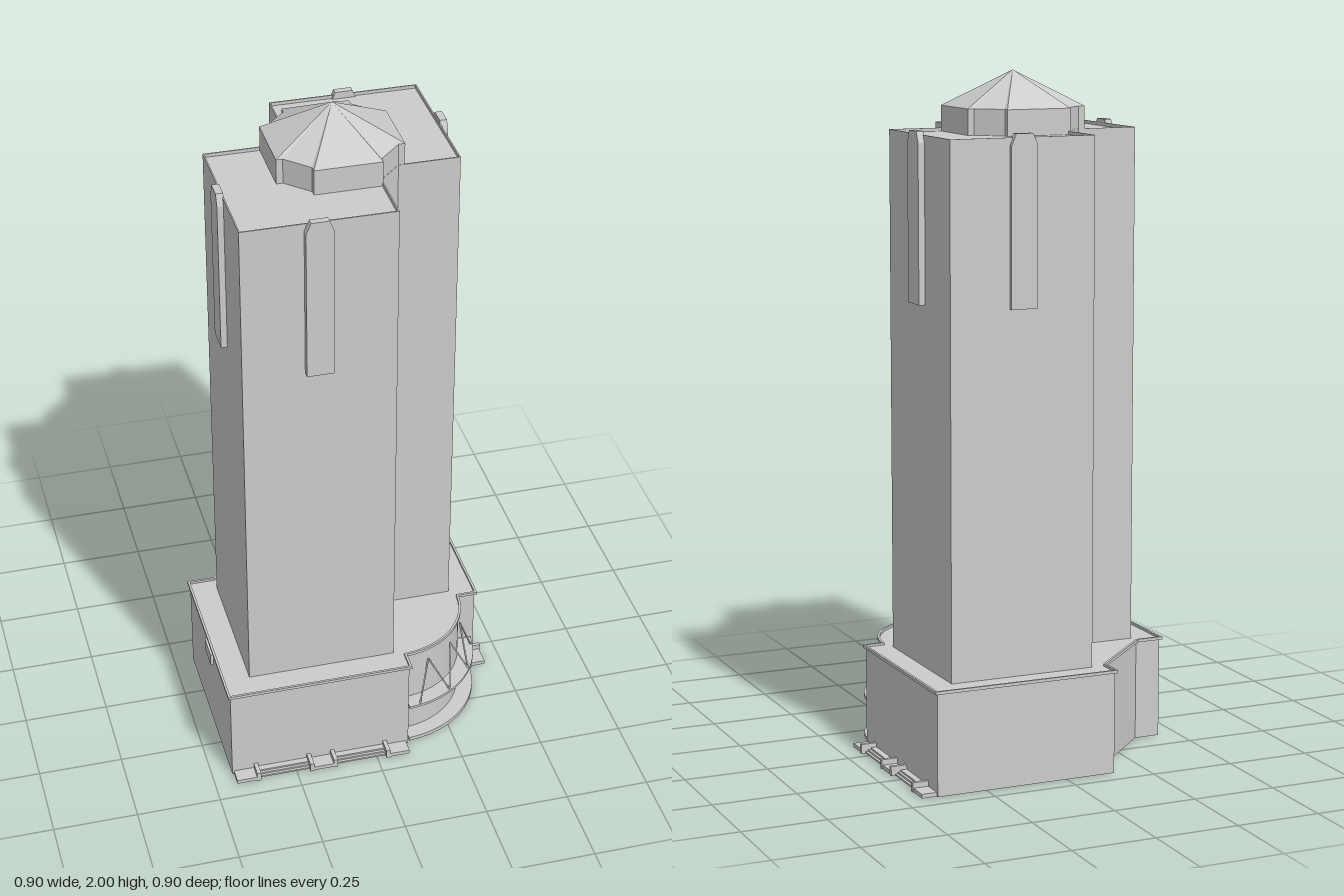
import * as THREE from 'three';
import { toCreasedNormals } from 'three/addons/utils/BufferGeometryUtils.js';

const grey = new THREE.MeshStandardMaterial({ color: 0xcccccc });
const V = (x, z) => new THREE.Vector2(x, z);

function add(parent, name, geometry) {
  const mesh = new THREE.Mesh(geometry, grey);
  mesh.name = name;
  parent.add(mesh);
  return mesh;
}

function box(parent, name, x0, x1, y0, y1, z0, z1) {
  const g = new THREE.BoxGeometry(x1 - x0, y1 - y0, z1 - z0);
  g.translate((x0 + x1) / 2, (y0 + y1) / 2, (z0 + z1) / 2);
  return add(parent, name, g);
}

// Points along an arc in plan, angles in degrees
function arc(cx, cz, r, from, to, n = 20) {
  return Array.from({ length: n + 1 }, (_, i) => {
    const a = THREE.MathUtils.degToRad(from + (to - from) * i / n);
    return V(cx + r * Math.cos(a), cz + r * Math.sin(a));
  });
}

// Mitred offset of a plan outline; positive d grows it
function offset(pts, d) {
  return pts.map((p, i) => {
    const a = pts[(i + pts.length - 1) % pts.length], b = pts[(i + 1) % pts.length];
    const u = p.clone().sub(a).normalize(), v = b.clone().sub(p).normalize();
    const n1 = V(u.y, -u.x), n2 = V(v.y, -v.x);
    return p.clone().addScaledVector(n1.clone().add(n2), d / (1 + n1.dot(n2)));
  });
}

// Plan outline (x, z) extruded between two heights, with an optional hole
function slab(pts, bottom, top, hole) {
  const shape = new THREE.Shape(pts);
  if (hole) shape.holes.push(new THREE.Path(hole));
  const g = new THREE.ExtrudeGeometry(shape, { depth: top - bottom, bevelEnabled: false });
  g.rotateX(Math.PI / 2).translate(0, top, 0);
  return toCreasedNormals(g, 0.4);
}

// Thin square bar between two points
function bar(parent, name, a, b, t) {
  const mesh = add(parent, name, new THREE.BoxGeometry(t, t, a.distanceTo(b)));
  mesh.position.copy(a).add(b).multiplyScalar(0.5);
  mesh.lookAt(b);
}

export function createModel() {
  const model = new THREE.Group();
  model.name = 'towerBlock';

  // Hollow podium with a cornice, one cut corner and one rounded corner
  const rim = [
    V(-0.158, -0.449), V(0.407, -0.449), V(0.407, 0.115),
    ...arc(0.1, 0.1, 0.248, 3.5, 86.5),
    V(0.115, 0.407), V(-0.447, 0.407), V(-0.447, -0.165), V(-0.365, -0.165), V(-0.158, -0.371),
  ];
  const body = offset(rim, -0.007);
  add(model, 'podiumWalls', slab(body, 0, 0.298, offset(body, -0.003)));
  add(model, 'podiumRoof', slab(body, 0.296, 0.3));
  add(model, 'podiumCornice', slab(rim, 0.298, 0.307, body));

  // Tower shaft with two notched corners
  const shaft = [
    V(-0.115, -0.367), V(0.325, -0.367), V(0.325, 0.08), V(0.145, 0.08), V(0.08, 0.145),
    V(0.08, 0.323), V(-0.364, 0.323), V(-0.364, -0.12), V(-0.182, -0.12), V(-0.115, -0.187),
  ];
  add(model, 'towerShaft', slab(shaft, 0.298, 1.822));
  add(model, 'towerParapet', slab(shaft, 1.822, 1.832, offset(shaft, -0.004)));

  // Lantern: four arms joined by diagonals, under a pointed roof
  const c = -0.019, w = 0.098, reach = 0.183, cut = 0.164;
  const plan = [];
  for (let k = 0; k < 4; k++) {
    for (const [x, z] of [[reach, -w], [reach, w], [cut, w], [w, cut]]) {
      const p = V(x, z).rotateAround(V(0, 0), k * Math.PI / 2);
      plan.push(V(p.x + c, p.y + c));
    }
  }
  add(model, 'lantern', slab(plan, 1.82, 1.897));
  const roof = [];
  plan.forEach((p, i) => {
    const q = plan[(i + 1) % plan.length];
    roof.push(q.x, 1.897, q.y, p.x, 1.897, p.y, c, 2, c);
  });
  const roofGeometry = new THREE.BufferGeometry();
  roofGeometry.setAttribute('position', new THREE.Float32BufferAttribute(roof, 3));
  roofGeometry.computeVertexNormals();
  add(model, 'lanternRoof', roofGeometry);

  // Tall pilasters with clipped tops, one per tower side
  const face = new THREE.Shape([
    V(-0.04, 1.355), V(0.04, 1.355), V(0.04, 1.81), V(0.026, 1.843), V(-0.026, 1.843), V(-0.04, 1.81),
  ]);
  const pilaster = new THREE.ExtrudeGeometry(face, { depth: 0.021, bevelEnabled: false });
  for (const [name, x, z, turn] of [
    ['frontPilaster', -0.145, 0.323, 0], ['leftPilaster', 0.323, -0.145, 1],
    ['backPilaster', 0.105, -0.357, 2], ['rightPilaster', -0.361, 0.1, 3],
  ]) {
    const mesh = add(model, name, pilaster);
    mesh.position.set(x, 0, z);
    mesh.rotation.y = turn * Math.PI / 2;
  }

  // Rounded entrance: ground step, canopy and zigzag struts
  const entrance = new THREE.Group();
  entrance.name = 'entrance';
  model.add(entrance);
  const band = [...arc(0.1, 0.1, 0.29, 3, 87), ...arc(0.1, 0.1, 0.238, 87, 3)];
  add(entrance, 'entranceStep', slab(band, 0, 0.012));
  add(entrance, 'canopy', slab(band, 0.126, 0.134));
  const zigzag = [10, 21, 33, 45, 57, 69, 80].map((deg, i) => {
    const a = THREE.MathUtils.degToRad(deg), r = i % 2 ? 0.246 : 0.285;
    return new THREE.Vector3(0.1 + r * Math.cos(a), i % 2 ? 0.26 : 0.132, 0.1 + r * Math.sin(a));
  });
  for (let i = 0; i < 6; i++) bar(entrance, 'zigzagStrut', zigzag[i], zigzag[i + 1], 0.004);

  // Low steps with cheek blocks on the front and left sides
  for (const side of ['front', 'left']) {
    const steps = new THREE.Group();
    steps.name = side + 'Steps';
    model.add(steps);
    const piece = (name, a0, a1, y1, d1) => side === 'front'
      ? box(steps, name, a0, a1, 0, y1, 0.398, d1)
      : box(steps, name, 0.398, d1, 0, y1, a0, a1);
    for (const [a, b] of [[-0.435, -0.37], [-0.2, -0.13], [0.035, 0.1]]) piece('landing', a, b, 0.012, 0.445);
    for (const [a, b] of [[-0.37, -0.2], [-0.13, 0.035]]) {
      piece('lowerTread', a, b, 0.005, 0.435);
      piece('middleTread', a, b, 0.01, 0.427);
      piece('upperTread', a, b, 0.015, 0.419);
    }
    for (const a of [-0.368, -0.204, -0.131, 0.033]) piece('cheekBlock', a - 0.006, a + 0.006, 0.028, 0.448);
  }

  // Small wall plate on the right side
  box(model, 'wallPlate', -0.449, -0.438, 0.24, 0.28, 0.09, 0.17);
  return model;
}
